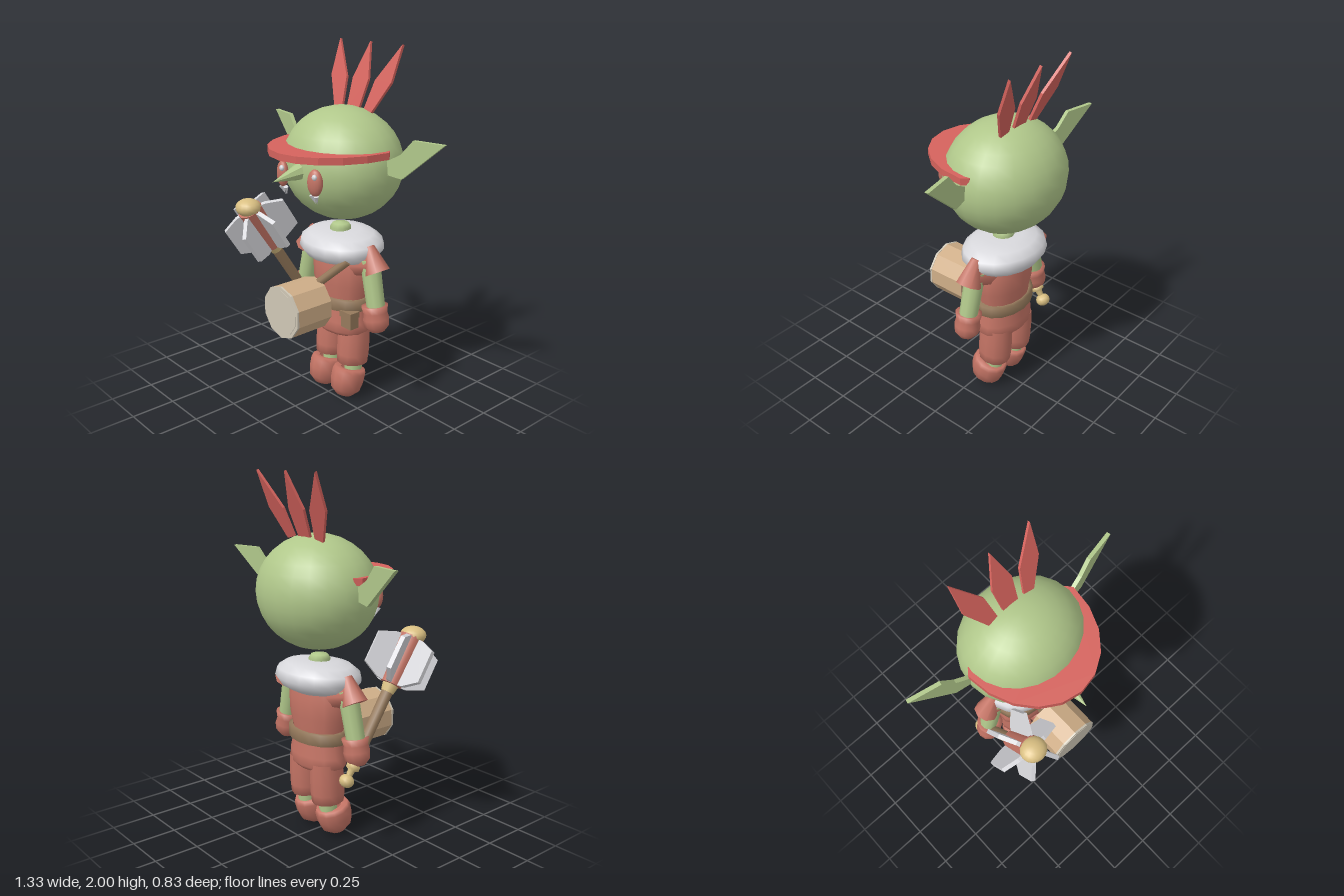
import * as THREE from 'three';

const mat = (name, color, extra = {}) => {
  const m = new THREE.MeshStandardMaterial({ color, side: THREE.DoubleSide, ...extra });
  m.name = name;
  return m;
};

export function createModel() {
  const model = new THREE.Group();
  const skin = mat('green skin', 0xb0c78a);
  const red = mat('feather red', 0xd5635d);
  const leather = mat('red leather', 0xc47465);
  const white = mat('fur and metal', 0xd8d8dc);
  const wood = mat('brown wood', 0x967a5c);
  const tan = mat('drum tan', 0xcfae88);
  const hide = mat('drum hide', 0xcfc7b6);
  const gold = mat('gold', 0xd9bf82);

  const add = (name, geo, material, pos = [0, 0, 0], parent = model) => {
    const m = new THREE.Mesh(geo, material);
    m.name = name;
    m.position.set(...pos);
    parent.add(m);
    return m;
  };
  const flat = (g) => {
    const f = g.index ? g.toNonIndexed() : g;
    f.computeVertexNormals();
    return f;
  };
  const ball = (rx, ry, rz, w = 16, h = 12) => new THREE.SphereGeometry(1, w, h).scale(rx, ry, rz);
  const lathe = (pts, n = 12) => new THREE.LatheGeometry(pts.map((p) => new THREE.Vector2(...p)), n);
  const plate = (pts, depth) => {
    const shape = new THREE.Shape(pts.map((p) => new THREE.Vector2(...p)));
    return new THREE.ExtrudeGeometry(shape, { depth, bevelEnabled: false }).translate(0, 0, -depth / 2);
  };
  // Rod between two points
  const rod = (name, a, b, r0, r1, material, n = 10, parent = model) => {
    const A = new THREE.Vector3(...a), B = new THREE.Vector3(...b), d = B.clone().sub(A);
    const m = add(name, new THREE.CylinderGeometry(r1, r0, d.length(), n), material,
      A.clone().add(B).multiplyScalar(0.5).toArray(), parent);
    m.quaternion.setFromUnitVectors(new THREE.Vector3(0, 1, 0), d.normalize());
    return m;
  };

  // Head and face
  add('head', ball(0.35, 0.308, 0.313, 22, 16), skin, [0, 1.373, -0.102]);
  const nose = add('nose', flat(new THREE.ConeGeometry(0.052, 0.2, 8)), skin, [0, 1.358, 0.275]);
  nose.rotation.x = Math.PI / 2 + 0.15;
  for (const s of [-1, 1]) {
    const eye = add('eye', ball(0.045, 0.071, 0.03), leather, [s * 0.133, 1.336, 0.205]);
    eye.rotation.y = s * 0.25;
    add('eyeGlint', ball(0.016, 0.016, 0.012, 8, 6), white, [s * 0.133 + 0.024, 1.373, 0.23]);
    for (const k of [-1, 1]) {
      const fang = add('fang', new THREE.ConeGeometry(0.014, 0.055, 6), white,
        [s * 0.125 + k * 0.012, 1.243, 0.198]);
      fang.rotation.set(Math.PI + 0.35, 0, k * 0.25);
    }
    const ear = add('ear', plate([[-0.03, 0], [0.1, -0.015], [0.34, 0.192], [0.16, 0.192],
      [0.09, 0.112], [-0.03, 0.045]], 0.022), skin, [s * 0.33, 1.373, -0.105]);
    if (s < 0) ear.geometry = plate([[0.03, 0.045], [-0.09, 0.112], [-0.16, 0.192],
      [-0.34, 0.192], [-0.1, -0.015], [0.03, 0]], 0.022);
    ear.rotation.y = s * 0.2;
  }

  // Headband, a half ring standing out in front
  const arc = [];
  for (let i = 0; i <= 10; i++) {
    const a = (i / 10) * Math.PI;
    arc.push([0.353 * Math.cos(a), 0.43 * Math.sin(a)]);
  }
  const band = add('headband', plate([...arc, [-0.325, -0.035], [0.325, -0.035]], 0.037), red, [0, 1.467, -0.1]);
  band.rotation.x = Math.PI / 2;

  // Three feathers leaning back
  const feathers = new THREE.Group();
  feathers.name = 'feathers';
  feathers.position.set(0, 1.65, -0.175);
  feathers.rotation.x = -0.35;
  model.add(feathers);
  const side = [[-0.145, 0], [-0.085, 0.015], [-0.11, 0.17], [-0.238, 0.372], [-0.23, 0.17]];
  add('feather', plate([[-0.045, 0], [0.045, 0], [0.06, 0.17], [0, 0.372], [-0.06, 0.17]], 0.015), red, [0, 0, 0], feathers);
  add('feather', plate([[-0.145, 0], [-0.085, 0.015], [-0.11, 0.17], [-0.24, 0.372], [-0.235, 0.17]], 0.015), red, [0, 0, 0], feathers);
  add('feather', plate(side.map(([x, y]) => [-x, y]).reverse(), 0.015), red, [0, 0, 0], feathers);

  // Neck and fur collar
  add('neck', lathe([[0.06, 0.9], [0.06, 1.01], [0.045, 1.032], [0.001, 1.04]]), skin, [0, 0, -0.09]);
  const collar = add('furCollar', lathe([[0.001, -0.09], [0.15, -0.085], [0.225, -0.055], [0.262, -0.01], [0.25, 0.035],
    [0.2, 0.068], [0.12, 0.085], [0.001, 0.085]], 18).scale(1, 1, 0.83), white, [0, 0.915, -0.098]);
  collar.rotation.x = 0.05;

  // Tunic, belt and pouch
  add('tunic', lathe([[0.001, 0.41], [0.16, 0.4], [0.19, 0.425], [0.19, 0.48], [0.168, 0.57], [0.17, 0.62],
    [0.19, 0.7], [0.195, 0.8], [0.17, 0.88]], 14).scale(1, 1, 0.67), leather, [0, 0, -0.1]);
  add('belt', lathe([[0.17, 0.558], [0.197, 0.56], [0.197, 0.622], [0.17, 0.624]], 16).scale(1, 1, 0.7), wood, [0, 0, -0.1]);
  add('pouch', new THREE.BoxGeometry(0.08, 0.085, 0.06), wood, [0.155, 0.515, -0.022]);
  add('pouchFlap', new THREE.BoxGeometry(0.088, 0.035, 0.068), wood, [0.155, 0.552, -0.021]);

  for (const s of [-1, 1]) {
    // Leg: trouser, bare shin and boot
    add('trouser', lathe([[0.06, 0.2], [0.086, 0.205], [0.09, 0.26], [0.09, 0.35], [0.085, 0.44]])
      .scale(1, 1, 1.08), leather, [s * 0.091, 0.01, -0.093]).rotation.x = -0.06;
    rod('shin', [s * 0.095, 0.1, -0.105], [s * 0.095, 0.3, -0.115], 0.05, 0.05, skin);
    const boot = add('boot', lathe([[0.001, -0.09], [0.045, -0.083], [0.082, -0.045], [0.093, 0.01], [0.094, 0.06],
      [0.085, 0.082], [0.05, 0.08]]).scale(1, 1, 1.1), leather, [s * 0.095, 0.1, -0.06]);
    boot.rotation.x = -0.27;

    // Arm: cap sleeve, arm and glove
    rod('sleeve', [s * 0.295, 0.82, -0.092], [s * 0.225, 0.95, -0.092], 0.07, 0.03, leather, 8);
    rod('shoulder', [s * 0.15, 0.83, -0.095], [s * 0.27, 0.86, -0.092], 0.075, 0.055, leather, 8);
    rod('arm', [s * 0.305, 0.58, -0.085], [s * 0.235, 0.88, -0.092], 0.05, 0.055, skin);
    const glove = add('glove', lathe([[0.001, -0.085], [0.04, -0.077], [0.068, -0.045], [0.073, -0.005], [0.066, 0.03],
      [0.075, 0.07], [0.045, 0.065]]), leather, [s * 0.3, 0.562, -0.083]);
    glove.rotation.z = s * 0.17;
  }

  // Drum with hide and strap
  const drum = add('drum', flat(new THREE.CylinderGeometry(0.148, 0.148, 0.235, 10)), tan, [0, 0.612, 0.218]);
  drum.rotation.x = Math.PI / 2;
  const rim = add('drumRim', flat(new THREE.CylinderGeometry(0.149, 0.149, 0.012, 10)), hide, [0, 0.612, 0.332]);
  rim.rotation.x = Math.PI / 2;
  const head = add('drumHide', flat(new THREE.CylinderGeometry(0.13, 0.13, 0.008, 10)), hide, [0, 0.612, 0.336]);
  head.rotation.x = Math.PI / 2;
  rod('drumStrap', [0.18, 0.88, 0.02], [0.01, 0.71, 0.11], 0.024, 0.024, wood, 8);
  rod('drumMount', [0, 0.73, 0.085], [0, 0.57, 0.055], 0.028, 0.028, wood, 8);

  // Flanged mace, built upright then leaned forward
  const mace = new THREE.Group();
  mace.name = 'mace';
  mace.position.set(-0.305, 1.0, 0.23);
  mace.rotation.x = 0.58;
  model.add(mace);
  add('maceCore', new THREE.CylinderGeometry(0.07, 0.06, 0.28, 12), leather, [0, 0, 0], mace);
  for (let i = 0; i < 6; i++) {
    const fin = add('maceFin', plate([[0.04, -0.14], [0.09, -0.135], [0.183, -0.09], [0.183, 0.09], [0.09, 0.13],
      [0.04, 0.135]], 0.024), white, [0, 0, 0], mace);
    fin.rotation.y = (i * Math.PI) / 3;
  }
  add('maceTop', ball(0.074, 0.05, 0.07), gold, [0, 0.153, 0], mace).rotation.x = -0.58;
  add('maceCollar', new THREE.CylinderGeometry(0.045, 0.036, 0.045, 10), gold, [0, -0.165, 0], mace);
  rod('maceHandle', [0, -0.62, 0], [0, -0.13, 0], 0.03, 0.032, wood, 10, mace);
  add('maceGrip', lathe([[0.016, -0.69], [0.02, -0.645], [0.038, -0.635], [0.038, -0.615], [0.025, -0.6], [0.025, -0.56]]),
    gold, [0, 0, 0], mace);
  add('macePommel', ball(0.042, 0.036, 0.042, 12, 8), gold, [0, -0.705, 0], mace);

  return model;
}
